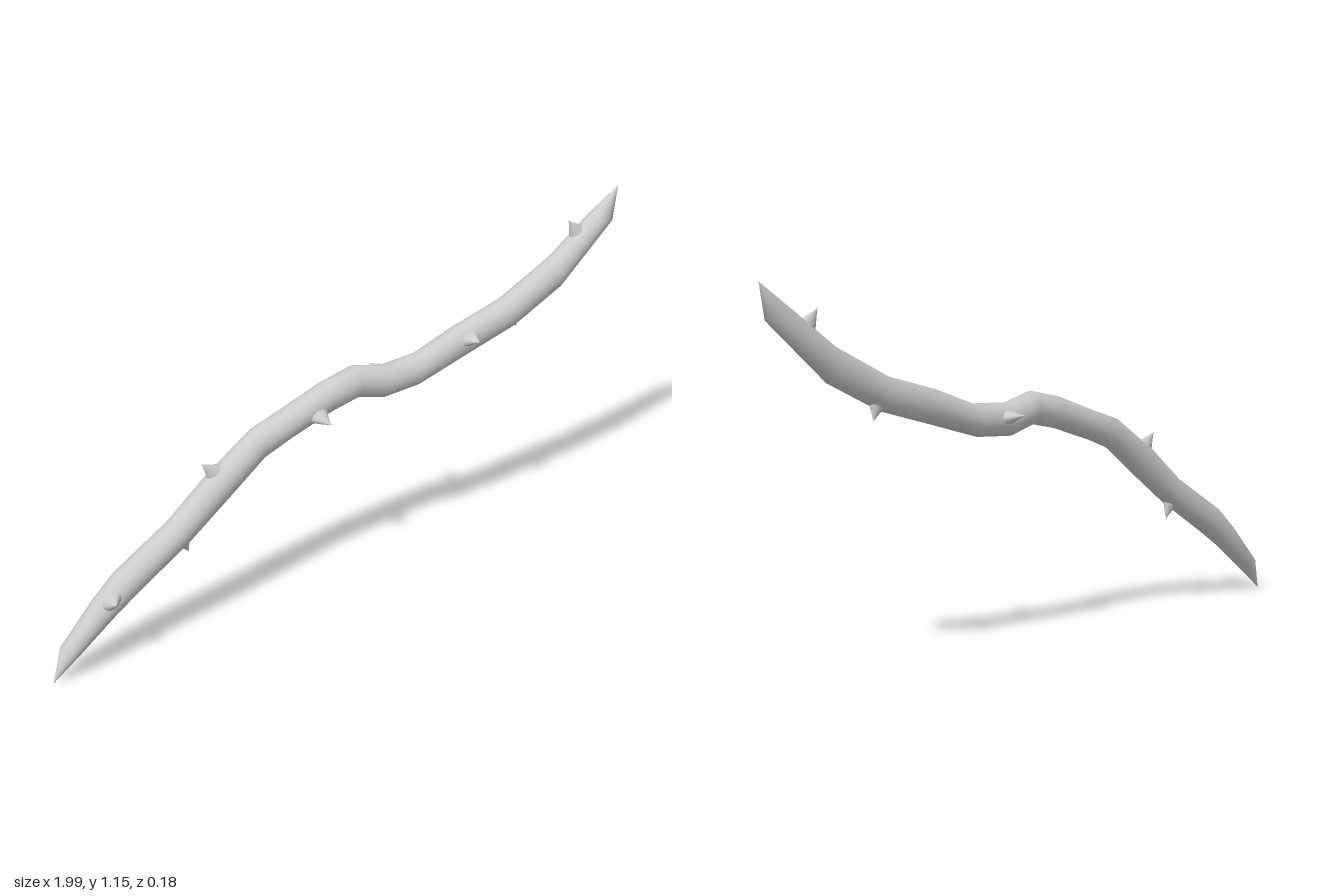
import * as THREE from 'three';

const V = (x, y, z) => new THREE.Vector3(x, y, z);
const material = new THREE.MeshStandardMaterial({ color: 0xcccccc });

// Skin a list of elliptical rings {c, a, b}: centre and two half axes
function loft(rings, sides) {
  const pos = [], index = [];
  for (const { c, a, b } of rings) {
    for (let j = 0; j < sides; j++) {
      const t = (j / sides) * Math.PI * 2;
      const p = c.clone().addScaledVector(a, Math.cos(t)).addScaledVector(b, Math.sin(t));
      pos.push(p.x, p.y, p.z);
    }
  }
  for (let i = 0; i < rings.length - 1; i++) {
    for (let j = 0; j < sides; j++) {
      const k = (j + 1) % sides, r = i * sides, s = r + sides;
      index.push(r + j, r + k, s + j, r + k, s + k, s + j);
    }
  }
  const g = new THREE.BufferGeometry();
  g.setAttribute('position', new THREE.Float32BufferAttribute(pos, 3));
  g.setIndex(index);
  g.computeVertexNormals();
  return g;
}

// Branch stations: upper x, y, lower x, y, half depth
const stations = [
  [-1, 0, -1, 0, 0],
  [-0.97, 0.105, -0.9, 0.09, 0.033],
  [-0.855, 0.235, -0.795, 0.177, 0.043],
  [-0.785, 0.305, -0.725, 0.228, 0.045],
  [-0.595, 0.43, -0.543, 0.353, 0.045],
  [-0.473, 0.54, -0.41, 0.46, 0.045],
  [-0.313, 0.657, -0.288, 0.562, 0.044],
  [-0.222, 0.69, -0.2, 0.6, 0.044],
  [-0.075, 0.748, -0.056, 0.652, 0.044],
  [0.035, 0.775, 0.035, 0.674, 0.044],
  [0.131, 0.75, 0.126, 0.648, 0.044],
  [0.262, 0.759, 0.248, 0.658, 0.044],
  [0.398, 0.813, 0.414, 0.711, 0.044],
  [0.57, 0.866, 0.602, 0.77, 0.044],
  [0.757, 0.968, 0.773, 0.861, 0.043],
  [0.885, 1.07, 0.97, 1.048, 0.036],
  [0.992, 1.155, 0.992, 1.155, 0],
];

// Thorns: base, tip, and the branch direction beneath in degrees
const thorns = [
  [[-0.81, 0.245, 0.02], [-0.82, 0.262, 0.072], 38],
  [[-0.568, 0.365, -0.012], [-0.537, 0.302, -0.02], 35],
  [[-0.44, 0.545, -0.01], [-0.487, 0.593, -0.01], 43],
  [[-0.115, 0.668, 0.025], [-0.1, 0.655, 0.085], 20],
  [[0.155, 0.71, -0.035], [0.135, 0.72, -0.092], -5],
  [[0.425, 0.78, 0.03], [0.42, 0.793, 0.092], 17],
  [[0.612, 0.805, -0.005], [0.64, 0.747, -0.02], 22],
  [[0.85, 1.018, 0.0], [0.807, 1.075, 0.0], 40],
];

// Curved thorn with a flared oval base stretched along the branch
function thornGeometry(base, tip, degrees) {
  const from = V(...base), to = V(...tip), angle = THREE.MathUtils.degToRad(degrees);
  const along = V(Math.cos(angle), Math.sin(angle), 0);
  const dir = to.clone().sub(from);
  // leave the bark at a right angle, then hook towards the tip
  const straight = dir.clone().addScaledVector(along, -dir.dot(along));
  const bend = from.clone().addScaledVector(straight, 0.55);
  const curve = new THREE.QuadraticBezierCurve3(from, bend, to);
  const across = straight.normalize().cross(along);
  const rings = [];
  for (let i = 0; i <= 6; i++) {
    const t = i / 6, r = Math.pow(1 - t, 1.15);
    rings.push({
      c: curve.getPoint(t),
      a: along.clone().multiplyScalar(0.036 * r),
      b: across.clone().multiplyScalar(0.024 * r),
    });
  }
  return loft(rings, 12);
}

export function createModel() {
  const group = new THREE.Group();
  group.name = 'thornyBranch';

  // Winding stem with slanted, pointed ends
  const rings = stations.map(([ux, uy, lx, ly, depth]) => {
    const x = (ux + lx) / 2;
    return {
      c: V(x, (uy + ly) / 2, -0.005 + 0.009 * x),
      a: V((ux - lx) / 2, (uy - ly) / 2, 0),
      b: V(0, 0, depth),
    };
  });
  const stem = new THREE.Mesh(loft(rings, 20), material);
  stem.name = 'stem';
  group.add(stem);

  // Thorns scattered around the stem
  thorns.forEach(([base, tip, degrees], i) => {
    const thorn = new THREE.Mesh(thornGeometry(base, tip, degrees), material);
    thorn.name = `thorn${i + 1}`;
    group.add(thorn);
  });
  return group;
}
